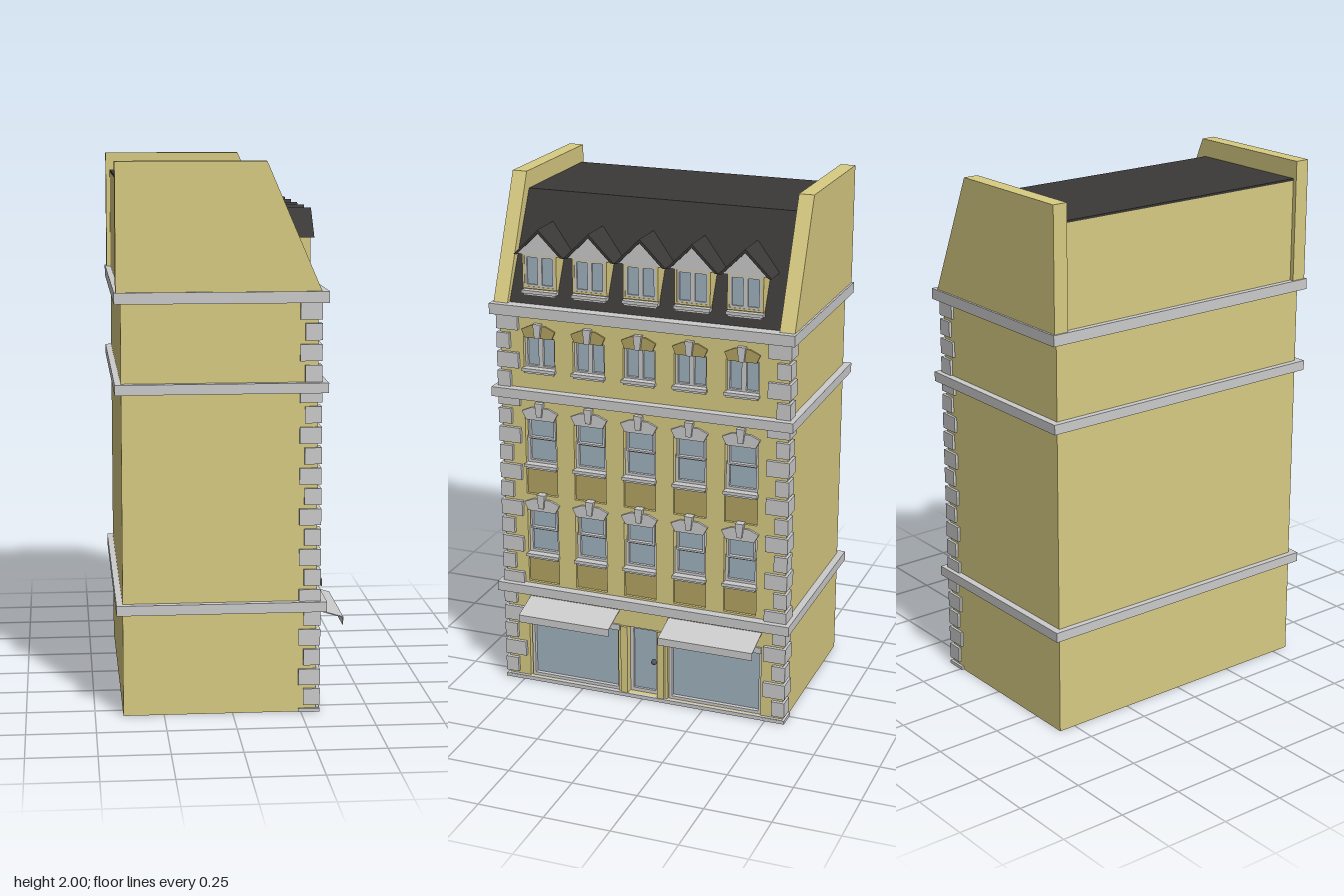
import * as THREE from 'three';

const mat = (color) => new THREE.MeshStandardMaterial({ color, side: THREE.DoubleSide });
const stone = mat(0xcccccc), wall = mat(0xd9cc83), shade = mat(0xb5a463);
const slate = mat(0x3b3938), glass = mat(0xa0b3be), metal = mat(0x55585c);

const FACE = 0.305; // x of the street facade
const BACK = 0.265; // x of the recess behind the openings
const COLS = [0.41, 0.21, 0.01, -0.19, -0.39];

function add(parent, name, geo, material) {
  const m = new THREE.Mesh(geo, material);
  m.name = name;
  parent.add(m);
  return m;
}

function box(parent, name, x, y, z, material) {
  const g = new THREE.BoxGeometry(x[1] - x[0], y[1] - y[0], Math.abs(z[1] - z[0]));
  g.translate((x[0] + x[1]) / 2, (y[0] + y[1]) / 2, (z[0] + z[1]) / 2);
  return add(parent, name, g, material);
}

const poly = (pts) => new THREE.Shape(pts.map((p) => new THREE.Vector2(...p)));
const rect = (a, b, c, d) => [[a, c], [b, c], [b, d], [a, d]];

// Outline drawn in the facade plane (u = -z, y), extruded from x0 to x1
function facing(parent, name, shape, x0, x1, material) {
  const g = new THREE.ExtrudeGeometry(shape, { depth: x1 - x0, bevelEnabled: false });
  g.rotateY(Math.PI / 2).translate(x0, 0, 0);
  return add(parent, name, g, material);
}

// Outline drawn in the side plane (x, y), extruded from z0 to z1
function sideways(parent, name, pts, z0, z1, material) {
  const g = new THREE.ExtrudeGeometry(poly(pts), { depth: z1 - z0, bevelEnabled: false });
  return add(parent, name, g.translate(0, 0, z0), material);
}

// Rectangular frame with a pane set inside
function framed(parent, name, x, y, z, t, frameMat) {
  const s = poly(rect(-z[1], -z[0], y[0], y[1]));
  s.holes.push(poly(rect(-z[1] + t, -z[0] - t, y[0] + t, y[1] - t)));
  facing(parent, name + 'Frame', s, x[0], x[1], frameMat);
  box(parent, name + 'Glass', [x[0], (x[0] + x[1]) / 2], y, [z[0] + 0.002, z[1] - 0.002], glass);
}

function casement(parent, x, y, z, half) {
  for (const s of [-1, 1]) {
    const c = z + s * half / 2;
    framed(parent, 'casement', x, y, [c - half / 2, c + half / 2], 0.009, stone);
  }
}

function sill(parent, x, y, z, half) {
  box(parent, 'sill', [BACK - 0.02, x], [y + 0.008, y + 0.02], [z - half, z + half], stone);
  box(parent, 'sillMoulding', [BACK - 0.02, x - 0.006], [y, y + 0.008], [z - half + 0.006, z + half - 0.006], stone);
}

// Sash window with sill, arched lintel, keystone and apron panel
function sashWindow(parent, z, y) {
  const g = new THREE.Group();
  g.name = 'sashWindow';
  parent.add(g);
  framed(g, 'upperSash', [BACK, 0.298], [y + 0.12, y + 0.205], [z - 0.056, z + 0.056], 0.007, stone);
  framed(g, 'lowerSash', [BACK, 0.288], [y + 0.018, y + 0.126], [z - 0.064, z + 0.064], 0.012, stone);
  sill(g, 0.319, y, z, 0.067);
  const u = -z, t = y + 0.2;
  facing(g, 'lintel', poly([[u - 0.056, t], [u + 0.056, t], [u + 0.073, t + 0.032], [u + 0.035, t + 0.049],
    [u - 0.035, t + 0.049], [u - 0.073, t + 0.032]]), BACK, 0.314, stone);
  keystone(g, z, t + 0.015);
  box(g, 'apronPanel', [BACK - 0.01, 0.294], [y - 0.115, y + 0.01], [z - 0.064, z + 0.064], shade);
}

function keystone(parent, z, y) {
  facing(parent, 'keystone', poly([[-z - 0.01, y], [-z + 0.01, y], [-z + 0.016, y + 0.055], [-z - 0.016, y + 0.055]]),
    BACK, 0.324, stone);
}

function smallWindow(parent, z) {
  const g = new THREE.Group();
  g.name = 'smallWindow';
  parent.add(g);
  casement(g, [BACK, 0.289], [1.295, 1.42], z, 0.063);
  sill(g, 0.319, 1.278, z, 0.067);
  const u = -z;
  facing(g, 'lintel', poly([[u - 0.055, 1.418], [u + 0.055, 1.418], [u + 0.068, 1.448], [u + 0.03, 1.466],
    [u - 0.03, 1.466], [u - 0.068, 1.448]]), BACK, 0.312, shade);
  keystone(g, z, 1.42);
}

function dormer(parent, z) {
  const g = new THREE.Group();
  g.name = 'dormer';
  parent.add(g);
  const u = -z;
  box(g, 'dormerBody', [0.19, 0.274], [1.565, 1.74], [z - 0.068, z + 0.068], wall);
  framed(g, 'dormerSurround', [0.27, 0.286], [1.6, 1.735], [z - 0.068, z + 0.068], 0.008, wall);
  casement(g, [0.27, 0.284], [1.607, 1.728], z, 0.06);
  sill(g, 0.298, 1.575, z, 0.07);
  facing(g, 'pediment', poly([[u - 0.088, 1.73], [u + 0.088, 1.73], [u, 1.818]]), 0.17, 0.289, stone);
  facing(g, 'dormerRoof', poly([[u - 0.1, 1.728], [u - 0.087, 1.728], [u, 1.814], [u + 0.087, 1.728],
    [u + 0.1, 1.728], [u, 1.828]]), 0.13, 0.295, slate);
}

function shopfront(parent, z) {
  const g = new THREE.Group();
  g.name = 'shopfront';
  parent.add(g);
  framed(g, 'shopWindow', [BACK, 0.298], [0.015, 0.285], [z - 0.188, z + 0.188], 0.012, stone);
  box(g, 'awningBox', [BACK, 0.312], [0.276, 0.3], [z - 0.188, z + 0.188], stone);
  // Sloping awning with a short hanging valance
  sideways(g, 'awning', [[0.3, 0.362], [0.419, 0.327], [0.419, 0.297], [0.416, 0.297], [0.416, 0.324], [0.3, 0.358]],
    z - 0.187, z + 0.187, stone);
}

function entrance(parent) {
  const g = new THREE.Group();
  g.name = 'entrance';
  parent.add(g);
  framed(g, 'door', [BACK, 0.285], [0.015, 0.297], [-0.06, 0.06], 0.014, stone);
  for (const z of [-0.075, 0.075]) box(g, 'pilaster', [BACK, 0.315], [0.015, 0.297], [z - 0.014, z + 0.014], wall);
  const knob = add(g, 'doorKnob', new THREE.SphereGeometry(0.011, 16, 12), metal);
  knob.position.set(0.292, 0.155, -0.04);
}

export function createModel() {
  const model = new THREE.Group();
  model.name = 'townhouse';

  // Main block and facade with openings
  box(model, 'body', [-0.398, BACK], [0, 1.54], [-0.567, 0.567], wall);
  const front = poly(rect(-0.567, 0.567, 0, 1.54));
  const hole = (z, half, y0, y1) => front.holes.push(poly(rect(-z - half, -z + half, y0, y1)));
  for (const z of COLS) {
    hole(z, 0.064, 0.425, 0.735);
    hole(z, 0.064, 0.79, 1.105);
    hole(z, 0.063, 1.285, 1.42);
  }
  for (const z of [0.29, -0.29]) hole(z, 0.188, 0.015, 0.285);
  hole(0, 0.09, 0.015, 0.297);
  facing(model, 'facade', front, BACK, FACE, wall);
  box(model, 'plinth', [BACK, 0.318], [0, 0.015], [-0.567, 0.567], stone);

  // Stone bands around the block
  for (const [a, b] of [[0.38, 0.417], [1.181, 1.218], [1.503, 1.544]])
    box(model, 'stringCourse', [-0.421, 0.341], [a, b], [-0.594, 0.594], stone);

  // Corner quoins, alternately long and short
  for (const s of [-1, 1]) {
    for (let i = 0; i < 21; i++) {
      const top = 1.503 - i * 0.0745, long = i % 2 === 0;
      if (top < 0.01) continue;
      box(model, 'quoin', [long ? 0.24 : 0.258, 0.319], [Math.max(0, top - 0.06), top],
        [s * (long ? 0.49 : 0.525), s * 0.577], stone);
    }
  }

  // Windows and dormers
  for (const z of COLS) {
    sashWindow(model, z, 0.525);
    sashWindow(model, z, 0.895);
    smallWindow(model, z);
    dormer(model, z);
  }
  for (const z of [0.283, -0.292]) shopfront(model, z);
  entrance(model);

  // Mansard roof between two parapet gables
  box(model, 'atticBackWall', [-0.399, -0.385], [1.54, 1.926], [-0.532, 0.532], wall);
  sideways(model, 'mansardRoof', [[-0.4, 1.925], [-0.386, 1.925], [-0.386, 1.54], [0.297, 1.54], [0.1, 1.933], [-0.4, 1.933]],
    -0.532, 0.532, slate);
  for (const z of [-0.586, 0.529])
    sideways(model, 'parapetGable', [[-0.415, 1.54], [0.317, 1.54], [0.118, 2], [-0.415, 2]], z, z + 0.057, wall);

  return model;
}
